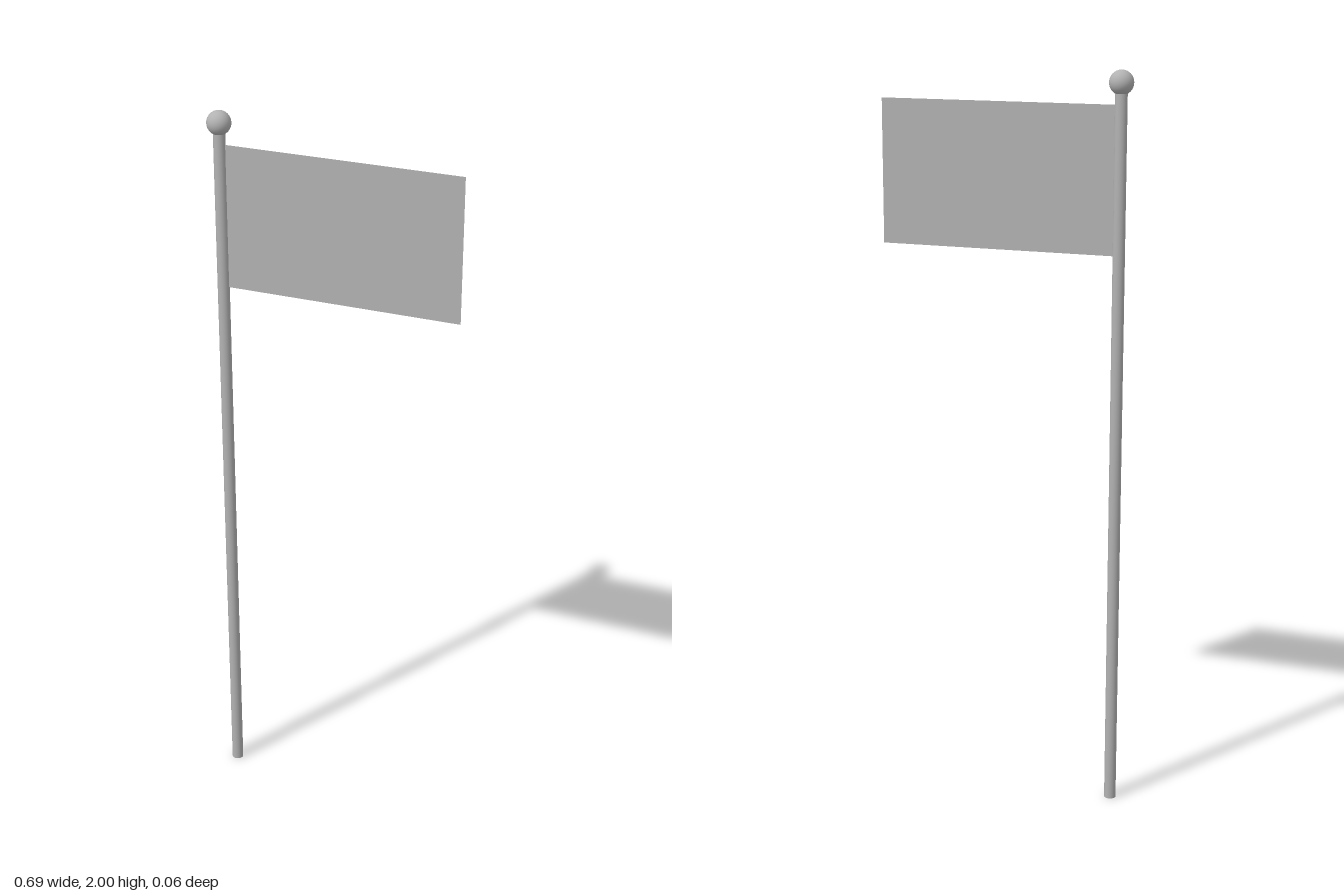
import * as THREE from 'three';
import { mergeVertices } from 'three/addons/utils/BufferGeometryUtils.js';

const POLE_X = -0.316;
const POLE_RADIUS = 0.016;
const BALL_RADIUS = 0.032;

// Weld a geometry so its normals blend smoothly over every edge
function weld(geometry) {
  geometry.deleteAttribute('uv');
  geometry.deleteAttribute('normal');
  const welded = mergeVertices(geometry, 1e-5);
  welded.computeVertexNormals();
  return welded;
}

export function createModel() {
  const group = new THREE.Group();
  group.name = 'flagpole';
  const grey = new THREE.MeshStandardMaterial({ color: 0xb2b2b2, side: THREE.DoubleSide });
  grey.name = 'grey';

  const add = (name, geometry, x, y) => {
    const mesh = new THREE.Mesh(geometry, grey);
    mesh.name = name;
    mesh.position.set(x, y, 0);
    group.add(mesh);
  };

  // Tall thin pole, shaded softly into its end caps
  const poleHeight = 2 - BALL_RADIUS;
  add('pole', weld(new THREE.CylinderGeometry(POLE_RADIUS, POLE_RADIUS, poleHeight, 24)), POLE_X, poleHeight / 2);

  // Ball on top
  add('finial', new THREE.SphereGeometry(BALL_RADIUS, 32, 20), POLE_X, 2 - BALL_RADIUS);

  // Flat sheet from the pole surface out to the left
  const inner = POLE_X + POLE_RADIUS - 0.001, outer = 0.346;
  const bottom = 1.525, top = 1.912;
  add('flag', new THREE.PlaneGeometry(outer - inner, top - bottom), (inner + outer) / 2, (top + bottom) / 2);

  return group;
}
